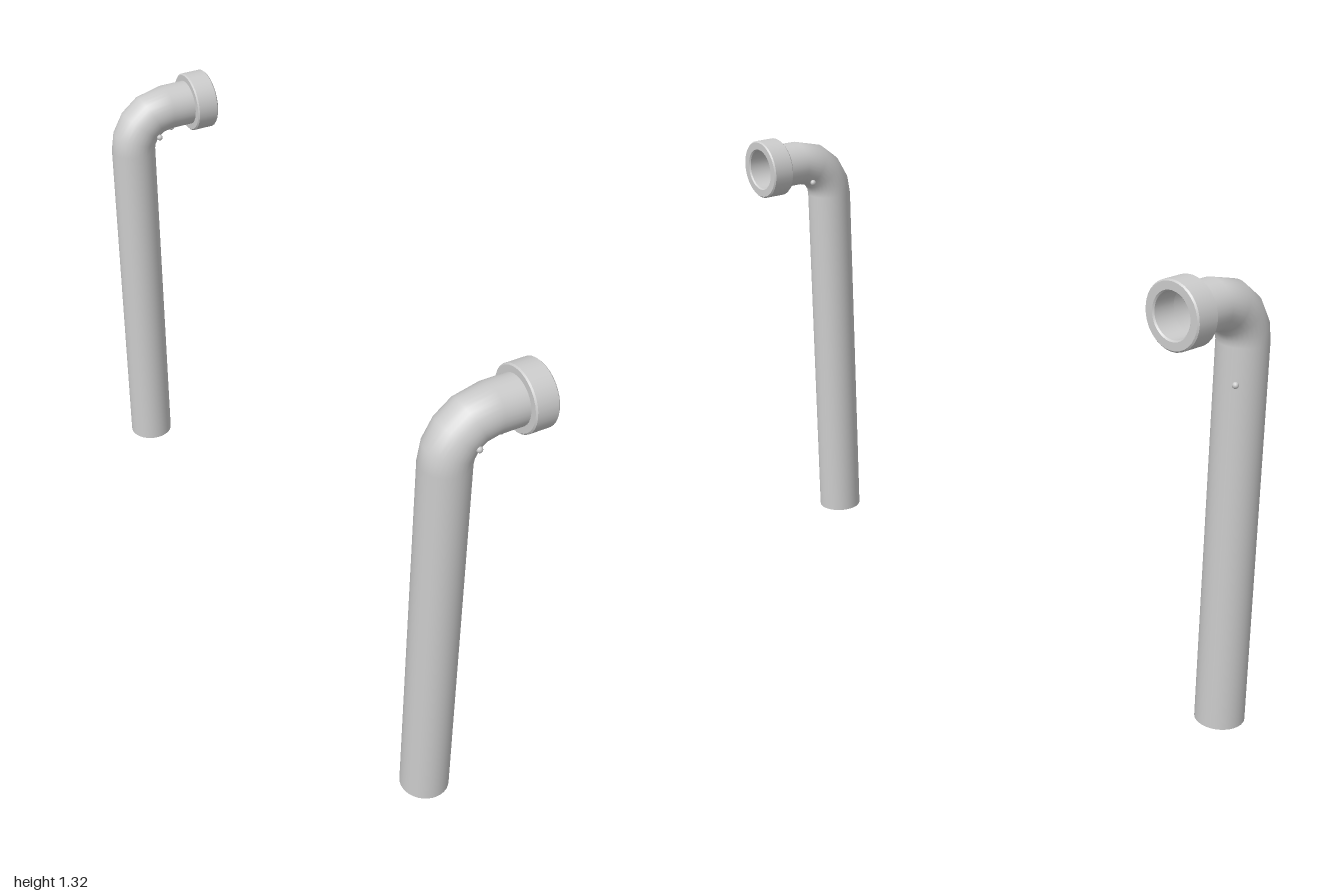
import * as THREE from 'three';

const R = 0.068;          // pipe radius
const AXIS_X = -0.096;    // upright axis
const AXIS_Y = 1.232;     // outlet axis
const BEND = 0.117;       // bend radius of the centreline

// Cylinder whose rows of vertices follow the upright, the elbow and the outlet
function bentPipe(bottom, material) {
  const stations = [[AXIS_X, bottom, 0]];
  const cx = AXIS_X + BEND, cy = AXIS_Y - BEND;
  for (const degrees of [0, 18, 40, 62, 90]) {
    const a = THREE.MathUtils.degToRad(degrees);
    stations.push([cx - BEND * Math.cos(a), cy + BEND * Math.sin(a), a]);
  }
  stations.push([0.1, AXIS_Y, Math.PI / 2]);
  const rows = stations.length - 1;
  const geo = new THREE.CylinderGeometry(R, R, 1, 32, rows, true);
  const p = geo.attributes.position, n = geo.attributes.normal;
  for (let i = 0; i < p.count; i++) {
    const [sx, sy, a] = stations[Math.round((p.getY(i) + 0.5) * rows)];
    const c = Math.cos(a), s = Math.sin(a);
    p.setXYZ(i, sx + p.getX(i) * c, sy - p.getX(i) * s, p.getZ(i));
    n.setXYZ(i, n.getX(i) * c, -n.getX(i) * s, n.getZ(i));
  }
  const mesh = new THREE.Mesh(geo, material);
  mesh.name = 'bentPipe';
  return mesh;
}

// Thick collar with a bore, turned around the outlet axis
function collar(material) {
  const e = 0.004, r = 0.09, bore = 0.06, x0 = 0.093, x1 = 0.162;
  const profile = [
    [bore, x0], [r - e, x0], [r, x0 + e], [r, x1 - e],
    [r - e, x1], [bore + e, x1], [bore, x1 - e], [bore, x0],
  ];
  const group = new THREE.Group();
  group.name = 'collar';
  // one lathe per profile segment keeps the edges sharp
  for (let i = 0; i + 1 < profile.length; i++) {
    const pts = [profile[i], profile[i + 1]].map(([a, b]) => new THREE.Vector2(a, b));
    const mesh = new THREE.Mesh(new THREE.LatheGeometry(pts, 32), material);
    mesh.name = 'collarFace';
    group.add(mesh);
  }
  group.rotation.z = -Math.PI / 2;
  group.position.y = AXIS_Y;
  return group;
}

export function createModel() {
  const model = new THREE.Group();
  model.name = 'pipePair';
  const metal = new THREE.MeshStandardMaterial({ color: 0xcccccc, side: THREE.DoubleSide });
  metal.name = 'pipe grey';

  // z position, foot height and small studs of each pipe
  const pipes = [
    { name: 'frontPipe', z: 0.91, bottom: 0,
      studs: [[-0.045, 1.175, 0.064], [0.0, 1.175, -0.055], [0.052, 1.159, 0.01]] },
    { name: 'backPipe', z: -0.91, bottom: 0.024,
      studs: [[-0.03, 1.165, 0.06], [0.037, 1.159, 0], [-0.034, 1.02, -0.04]] },
  ];
  const studGeo = new THREE.SphereGeometry(0.009, 10, 8);
  for (const { name, z, bottom, studs } of pipes) {
    const pipe = new THREE.Group();
    pipe.name = name;
    pipe.position.z = z;
    pipe.add(bentPipe(bottom, metal), collar(metal));
    for (const s of studs) {
      const stud = new THREE.Mesh(studGeo, metal);
      stud.name = 'stud';
      stud.position.set(...s);
      pipe.add(stud);
    }
    model.add(pipe);
  }
  return model;
}
